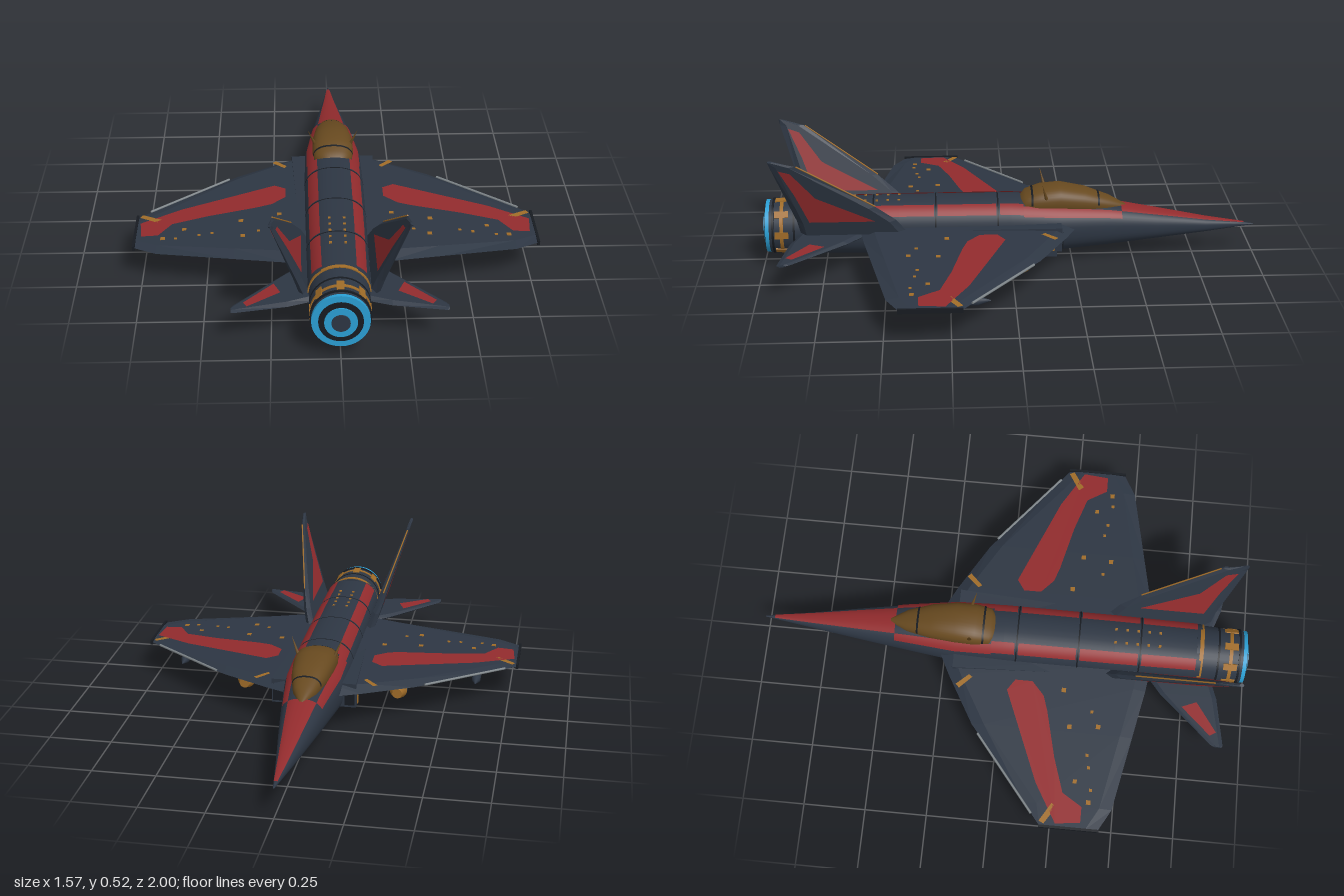
import * as THREE from 'three';
import { mergeVertices } from 'three/addons/utils/BufferGeometryUtils.js';

const paint = (name, color, side = THREE.FrontSide) => {
  const m = new THREE.MeshStandardMaterial({ color, side });
  m.name = name;
  return m;
};

// body sections: z, half width, top, bottom
const HULL = [[-1, 0.002, 0.121, 0.117], [-0.8, 0.032, 0.152, 0.093], [-0.6, 0.063, 0.19, 0.073], [-0.4, 0.092, 0.227, 0.053],
  [-0.2, 0.119, 0.25, 0.037], [0, 0.121, 0.264, 0.034], [0.45, 0.12, 0.264, 0.035], [0.8, 0.115, 0.26, 0.04]];
const CANOPY = [[-0.47, 0.01, 0.218, 0.19], [-0.4, 0.045, 0.255, 0.19], [-0.3, 0.07, 0.292, 0.19], [-0.2, 0.082, 0.312, 0.19],
  [-0.12, 0.084, 0.304, 0.19], [-0.06, 0.076, 0.282, 0.19], [-0.04, 0.05, 0.26, 0.2]];

function sectionAt(list, z) {
  let i = 0;
  while (i < list.length - 2 && z > list[i + 1][0]) i++;
  const t = (z - list[i][0]) / (list[i + 1][0] - list[i][0]);
  return list[i].map((v, k) => v + (list[i + 1][k] - v) * t);
}

// skin between two z values and two angles (0 is straight up, positive towards +x)
function skin(list, z0, z1, a0, a1, off = 0, cols = 40) {
  const zs = [z0, ...list.map((s) => s[0]).filter((z) => z > z0 && z < z1), z1];
  const pos = [], index = [];
  const pw = (v) => Math.sign(v) * Math.abs(v) ** 0.85;
  zs.forEach((z, r) => {
    const [, hw, top, bottom] = sectionAt(list, z);
    for (let c = 0; c <= cols; c++) {
      const a = a0 + (a1 - a0) * c / cols;
      pos.push((hw + off) * pw(Math.sin(a)), (top + bottom) / 2 + ((top - bottom) / 2 + off) * pw(Math.cos(a)), z);
      if (r && c) {
        const n = cols + 1, p = (r - 1) * n + c - 1;
        index.push(p, p + n, p + 1, p + 1, p + n, p + n + 1);
      }
    }
  });
  const g = new THREE.BufferGeometry();
  g.setAttribute('position', new THREE.Float32BufferAttribute(pos, 3));
  g.setIndex(index);
  const merged = mergeVertices(g);
  merged.computeVertexNormals();
  return merged;
}

// flying surface with bevelled edges; stations: span x, leading z, trailing z
function foil(stations, half, bevel) {
  const pos = [];
  const rings = stations.map(([x, le, te]) => {
    const h = half(x), b = Math.min(bevel, (te - le) * 0.3);
    return [[x, 0, le], [x, h, le + b], [x, h, te - b], [x, 0, te], [x, -h, te - b], [x, -h, le + b]];
  });
  const tri = (...p) => p.forEach((v) => pos.push(...v));
  for (let i = 1; i < rings.length; i++) for (let k = 0; k < 6; k++) {
    const A = rings[i - 1], B = rings[i], n = (k + 1) % 6;
    tri(A[k], A[n], B[k]);
    tri(B[k], A[n], B[n]);
  }
  const root = rings[0], tip = rings[rings.length - 1];
  for (let k = 1; k < 5; k++) { tri(tip[0], tip[k], tip[k + 1]); tri(root[0], root[k + 1], root[k]); }
  const g = new THREE.BufferGeometry();
  g.setAttribute('position', new THREE.Float32BufferAttribute(pos, 3));
  g.computeVertexNormals();
  return g;
}

// thin painted panel lying on a flying surface (side 1 top, -1 underside)
function decal(points, half, side = 1) {
  const g = new THREE.ShapeGeometry(new THREE.Shape(points.map(([x, z]) => new THREE.Vector2(x, -z))));
  g.rotateX(-Math.PI / 2);
  const p = g.attributes.position;
  for (let i = 0; i < p.count; i++) p.setY(i, side * (half(p.getX(i)) + 0.002));
  g.computeVertexNormals();
  return g;
}

export function createModel() {
  const model = new THREE.Group();
  model.name = 'jetFighter';
  const slate = paint('slate', 0x2d3643), red = paint('red', 0x922b2d, THREE.DoubleSide), black = paint('black', 0x171b21),
    gold = paint('gold', 0xa06c28, THREE.DoubleSide), bronze = paint('bronze', 0x67491f), cyan = paint('cyan', 0x2a9fd4), grey = paint('grey', 0x7d8488);
  const add = (parent, name, geo, mat, x = 0, y = 0, z = 0) => {
    const m = new THREE.Mesh(geo, mat);
    m.name = name;
    m.position.set(x, y, z);
    parent.add(m);
    return m;
  };
  const box = (w, h, d) => new THREE.BoxGeometry(w, h, d);
  // cylinder along z
  const drum = (rFront, rBack, len, sides = 36) => new THREE.CylinderGeometry(rBack, rFront, len, sides).rotateX(Math.PI / 2);
  const subgroup = (parent, name, x, y, z, roll) => {
    const g = new THREE.Group();
    g.name = name;
    g.position.set(x, y, z);
    g.rotation.z = roll;
    parent.add(g);
    return g;
  };

  // fuselage, nose stripe and canopy
  add(model, 'fuselage', skin(HULL, -1, 0.8, 0, Math.PI * 2), slate);
  add(model, 'noseStripe', skin(HULL, -0.96, -0.45, -0.62, 0.62, 0.003, 12), red);
  add(model, 'canopy', skin(CANOPY, -0.47, -0.04, 0, Math.PI * 2), bronze);
  for (const z of [-0.36, -0.09]) add(model, 'canopyFrame', skin(CANOPY, z, z + 0.008, -1.5, 1.5, 0.002, 24), black);
  for (const z of [0.05, 0.3, 0.55]) add(model, 'seam', skin(HULL, z, z + 0.006, -1.4, 1.4, 0.002), black);

  // belly pod
  add(model, 'bellyPod', box(0.06, 0.04, 0.22), slate, 0, 0.02, -0.08);
  add(model, 'bellyPodTail', box(0.045, 0.03, 0.12), slate, 0, 0.025, 0.07);

  // engine and exhaust rings
  const cy = 0.15;
  add(model, 'engine', drum(0.114, 0.106, 0.19), slate, 0, cy, 0.875);
  add(model, 'engineBand', drum(0.117, 0.117, 0.016), gold, 0, cy, 0.8);
  for (const z of [0.87, 0.955]) add(model, 'engineSeam', drum(0.112, 0.112, 0.008), black, 0, cy, z);
  add(model, 'nozzleBand', drum(0.111, 0.111, 0.014), gold, 0, cy, 0.92);
  for (let i = 0; i < 8; i++) {
    const a = i * Math.PI / 4;
    const b = add(model, 'nozzleBlock', box(0.028, 0.01, 0.055), gold, Math.sin(a) * 0.107, cy + Math.cos(a) * 0.107, 0.92);
    b.rotation.z = -a;
  }
  [[0.106, 0.985, cyan], [0.081, 0.99, black], [0.06, 0.995, cyan], [0.034, 1, slate]].forEach(([r, end, mat]) =>
    add(model, 'exhaustRing', drum(r, r, 0.025), mat, 0, cy, end - 0.0125));

  for (const side of [1, -1]) {
    const half = new THREE.Group();
    half.name = side > 0 ? 'leftSide' : 'rightSide';
    half.scale.x = side;
    model.add(half);

    // red shoulder stripes
    add(half, 'cockpitStripe', skin(HULL, -0.45, -0.05, 0.62, 1.05, 0.003, 8), red);
    [[-0.05, 0.045], [0.06, 0.295], [0.31, 0.545], [0.56, 0.78]].forEach(([a, b]) =>
      add(half, 'shoulderStripe', skin(HULL, a, b, 0.5, 0.98, 0.003, 8), red));
    for (let i = 0; i < 5; i++) add(half, 'spineRivet', box(0.01, 0.006, 0.01), gold, 0.028, 0.262, 0.45 + i * 0.045);

    // air intake tapering to the rear
    const duct = box(0.1, 0.1, 0.7);
    const p = duct.attributes.position;
    for (let i = 0; i < p.count; i++) if (p.getZ(i) > 0) p.setXYZ(i, p.getX(i) * 0.6 - 0.015, p.getY(i) * 0.7, p.getZ(i));
    duct.computeVertexNormals();
    add(half, 'intake', duct, slate, 0.12, 0.135, 0.15);
    add(half, 'intakeMouth', box(0.04, 0.07, 0.008), black, 0.144, 0.13, -0.201);
    add(half, 'intakeTrim', box(0.006, 0.08, 0.02), gold, 0.17, 0.13, -0.16);

    // canopy whisker
    const whisker = add(half, 'whisker', new THREE.ConeGeometry(0.009, 0.1, 8), bronze, 0.084, 0.3, -0.135);
    whisker.rotation.set(0.25, 0, -0.38);

    // main wing with painted panels
    const wing = subgroup(half, 'wing', 0, 0.158, 0, -0.03);
    const wh = (x) => 0.027 - 0.027 * x;
    add(wing, 'wingPanel', foil([[0.09, -0.265, 0.605], [0.19, -0.215, 0.59], [0.39, -0.1, 0.55], [0.69, 0.14, 0.49], [0.78, 0.21, 0.44]], wh, 0.05), slate);
    add(wing, 'wingStripe', decal([[0.24, 0.03], [0.195, 0.06], [0.195, 0.13], [0.25, 0.18], [0.31, 0.2], [0.5, 0.245], [0.64, 0.29],
      [0.69, 0.37], [0.755, 0.37], [0.765, 0.27], [0.61, 0.18]], wh), red);
    add(wing, 'tipPatch', decal([[0.685, 0.25], [0.7, 0.27], [0.77, 0.225], [0.76, 0.205]], wh), gold);
    add(wing, 'rootPatch', decal([[0.19, -0.13], [0.2, -0.115], [0.25, -0.165], [0.235, -0.18]], wh), gold);
    [[0.22, 0.26, 0.018], [0.37, 0.295, 0.018], [0.59, 0.335, 0.016], [0.3, 0.38, 0.012], [0.36, 0.41, 0.018], [0.48, 0.375, 0.012],
      [0.53, 0.385, 0.012], [0.62, 0.4, 0.012], [0.67, 0.395, 0.018]].forEach(([x, z, s]) =>
      add(wing, 'wingMark', box(s, 0.005, s), gold, x, wh(x), z));
    const slat = add(wing, 'slat', drum(0.005, 0.005, 0.39, 8), grey, 0.58, 0.003, 0.05);
    slat.rotation.y = Math.atan2(0.3, 0.24);
    add(wing, 'tipRail', box(0.01, 0.018, 0.24), black, 0.78, 0, 0.325);

    // under-wing stores
    add(half, 'largePylon', box(0.016, 0.05, 0.16), slate, 0.315, 0.128, 0.12);
    add(half, 'largePod', drum(0.036, 0.036, 0.25, 20), slate, 0.315, 0.092, 0.11);
    add(half, 'largePodNose', drum(0.02, 0.036, 0.04, 20), gold, 0.315, 0.092, -0.035);
    add(half, 'largePodTail', drum(0.036, 0.02, 0.04, 20), slate, 0.315, 0.092, 0.255);
    add(half, 'smallPylon', box(0.012, 0.04, 0.14), slate, 0.617, 0.118, 0.27);
    add(half, 'smallStore', drum(0.018, 0.018, 0.2, 16), slate, 0.617, 0.092, 0.25);
    add(half, 'smallStoreNose', drum(0.002, 0.018, 0.05, 16), slate, 0.617, 0.092, 0.125);
    add(half, 'storeFin', box(0.06, 0.005, 0.05), slate, 0.617, 0.112, 0.32);

    // tailplane
    const tail = subgroup(half, 'tailplane', 0, 0.145, 0, 0);
    const th = (x) => 0.015 - 0.025 * x;
    add(tail, 'tailplanePanel', foil([[0.08, 0.56, 0.84], [0.19, 0.65, 0.88], [0.385, 0.865, 0.915], [0.393, 0.88, 0.912]], th, 0.02), slate);
    add(tail, 'tailplaneStripe', decal([[0.24, 0.74], [0.35, 0.86], [0.335, 0.885], [0.215, 0.8]], th), red);

    // canted fin, painted on both faces
    const fin = subgroup(half, 'fin', 0.142, 0.2, 0, Math.PI / 2 - 0.32);
    const fh = (x) => 0.016 - 0.03 * x;
    add(fin, 'finPanel', foil([[-0.03, 0.42, 0.84], [0.03, 0.46, 0.85], [0.1, 0.54, 0.872], [0.309, 0.84, 0.937], [0.333, 0.925, 0.944]], fh, 0.025), slate);
    const patch = [[0.295, 0.905], [0.28, 0.86], [0.158, 0.77], [0.037, 0.54], [0.037, 0.8], [0.174, 0.85]];
    for (const face of [1, -1]) add(fin, 'finStripe', decal(patch, fh, face), red);
    const edge = add(fin, 'finEdge', drum(0.003, 0.003, 0.36, 6), gold, 0.205, 0, 0.688);
    edge.rotation.y = Math.atan2(0.209, 0.3);
  }
  return model;
}
